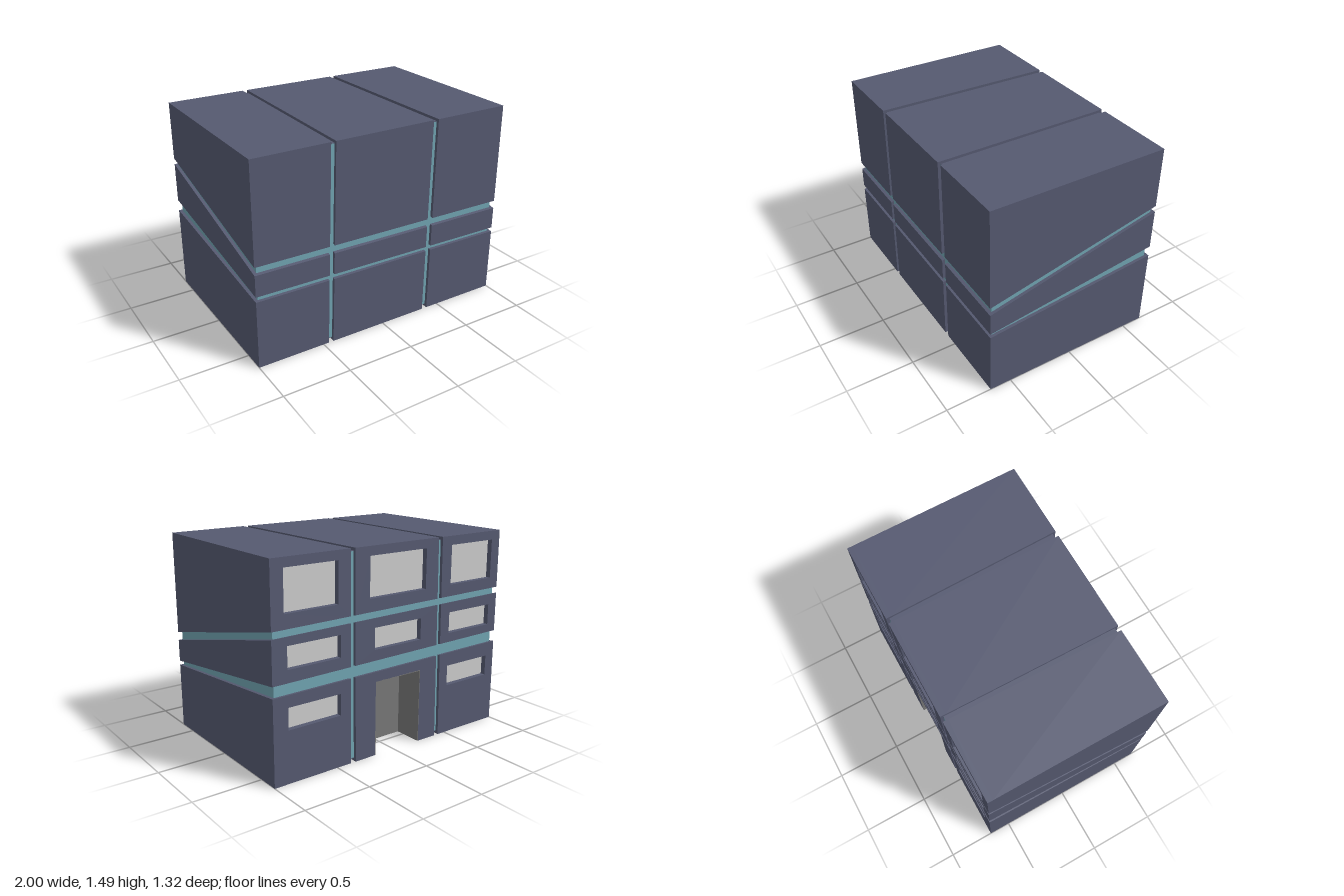
import * as THREE from 'three';

const mat = (color) => new THREE.MeshStandardMaterial({ color });
const W = 1, H = 1.485, D = 0.66, INSET = 0.022;
const RECESS = 0.04, DOOR_DEPTH = 0.22;
const door = { x0: -0.235, x1: 0.17, top: 0.545 };

// Slanted edges of the grooves: each is a plane c + a * (other axis) + b * z
const plane = (c, a, b) => (t, z) => c + a * t + b * z;
const columns = [ // left and right side of each column, as x(y, z)
  [plane(-W, 0, 0), plane(-0.447, 0.0148, -0.016)],
  [plane(-0.41, 0.0148, -0.0155), plane(0.352, 0.0094, 0.0125)],
  [plane(0.393, 0.0085, 0.0145), plane(W, 0, 0)],
];
const rows = [ // bottom and top of each row, as y(x, z)
  [plane(0, 0, 0), plane(0.556, -0.011, -0.093)],
  [plane(0.615, -0.014, -0.129), plane(0.844, -0.011, -0.233)],
  [plane(0.8975, -0.01, -0.2235), plane(H, 0, 0)],
];

// Windows of the back wall as [x0, x1, y0, y1], by row and column
const windows = [
  [[-0.92, -0.508, 0.372, 0.525], null, [0.473, 0.887, 0.372, 0.525]],
  [[-0.92, -0.508, 0.775, 0.93], [-0.23, 0.187, 0.775, 0.93], [0.473, 0.887, 0.775, 0.93]],
  [[-0.92, -0.508, 1.134, 1.42], [-0.266, 0.234, 1.134, 1.42], [0.493, 0.906, 1.134, 1.42]],
];

// Point where a column side meets a row side at depth z
function meet(xSide, ySide, z) {
  let x = 0, y = 0;
  for (let i = 0; i < 6; i++) {
    x = xSide(y, z);
    y = ySide(x, z);
  }
  return new THREE.Vector2(x, y);
}

const cellCorners = ([l, r], [b, t]) => (z) =>
  [meet(l, b, z), meet(r, b, z), meet(r, t, z), meet(l, t, z)];

// Slab between two depths whose four corners follow the slanted edges
function slab(corners, z0, z1, holes, notch, grow = 0) {
  const near = corners(z0), far = corners(z1);
  const outline = near.slice();
  if (notch) {
    const x0 = door.x0 - grow, x1 = door.x1 + grow, top = door.top + grow, y = near[0].y;
    outline.splice(1, 0, ...[[x0, y], [x0, top], [x1, top], [x1, y]].map((p) => new THREE.Vector2(...p)));
  }
  const shape = new THREE.Shape(outline);
  for (const [x0, x1, y0, y1] of holes) {
    shape.holes.push(new THREE.Path([[x0 - grow, y0 - grow], [x0 - grow, y1 + grow],
      [x1 + grow, y1 + grow], [x1 + grow, y0 - grow]].map((p) => new THREE.Vector2(...p))));
  }
  const geo = new THREE.ExtrudeGeometry(shape, { depth: z1 - z0, bevelEnabled: false });
  const pos = geo.attributes.position;
  for (let i = 0; i < pos.count; i++) {
    if (pos.getZ(i) < (z1 - z0) / 2) continue;
    const k = near.findIndex((c) => Math.hypot(c.x - pos.getX(i), c.y - pos.getY(i)) < 1e-4);
    if (k >= 0) pos.setXY(i, far[k].x, far[k].y);
  }
  geo.translate(0, 0, z0);
  geo.computeVertexNormals();
  return geo;
}

export function createModel() {
  const model = new THREE.Group();
  const navy = mat(0x555970), teal = mat(0x70a3b1), grey = mat(0xcccccc), darkGrey = mat(0x777777);

  const add = (name, geo, material, parent = model) => {
    const mesh = new THREE.Mesh(geo, material);
    mesh.name = name;
    parent.add(mesh);
    return mesh;
  };
  const box = (name, x0, x1, y0, y1, z0, z1, material, parent) =>
    add(name, new THREE.BoxGeometry(x1 - x0, y1 - y0, z1 - z0), material, parent)
      .position.set((x0 + x1) / 2, (y0 + y1) / 2, (z0 + z1) / 2);

  // Wall with openings, doorway zone, then the solid rest
  const layered = (name, corners, depth, holes, notch, grow, material, parent) => {
    const zWin = -D + RECESS + grow, zDoor = -D + DOOR_DEPTH + grow;
    add(name + 'BackWall', slab(corners, -depth, zWin, holes, notch, grow), material, parent);
    if (notch) add(name + 'DoorZone', slab(corners, zWin, zDoor, [], true, grow), material, parent);
    add(name + 'Body', slab(corners, notch ? zDoor : zWin, depth, [], false), material, parent);
  };

  // Nine outer blocks with recessed windows
  rows.forEach((row, j) => columns.forEach((column, i) => {
    const block = new THREE.Group();
    block.name = `block${j}${i}`;
    model.add(block);
    const w = windows[j][i];
    layered('block', cellCorners(column, row), D, w ? [w] : [], !w, 0, navy, block);
    if (w) box('windowPane', ...w, -D + RECESS - 0.002, -D + RECESS + 0.004, grey, block);
  }));

  // Inner core seen in the grooves
  const cw = W - INSET, ch = H - INSET;
  const coreCorners = () => [[-cw, INSET], [cw, INSET], [cw, ch], [-cw, ch]].map((p) => new THREE.Vector2(...p));
  layered('core', coreCorners, D - INSET, windows.flat().filter(Boolean), true, 0.006, teal, model);

  // Dark strips closing the grooves on the roof and underside
  for (const x of [-0.42, 0.38]) {
    for (const y of [INSET, ch]) {
      box('grooveCap', x - 0.06, x + 0.06, y - 0.003, y + 0.003, -D + INSET, D - INSET, navy);
    }
  }

  // Doorway lining, open to the back and below
  const { x0, x1, top } = door, t = 0.003, zBack = -D + DOOR_DEPTH;
  box('doorwaySide', x0 - t, x0 + t, 0, top, -D, zBack, darkGrey);
  box('doorwaySide', x1 - t, x1 + t, 0, top, -D, zBack, darkGrey);
  box('doorwayCeiling', x0, x1, top - t, top + t, -D, zBack, darkGrey);
  box('doorwayBack', x0, x1, 0, top, zBack - t, zBack + t, darkGrey);

  return model;
}
